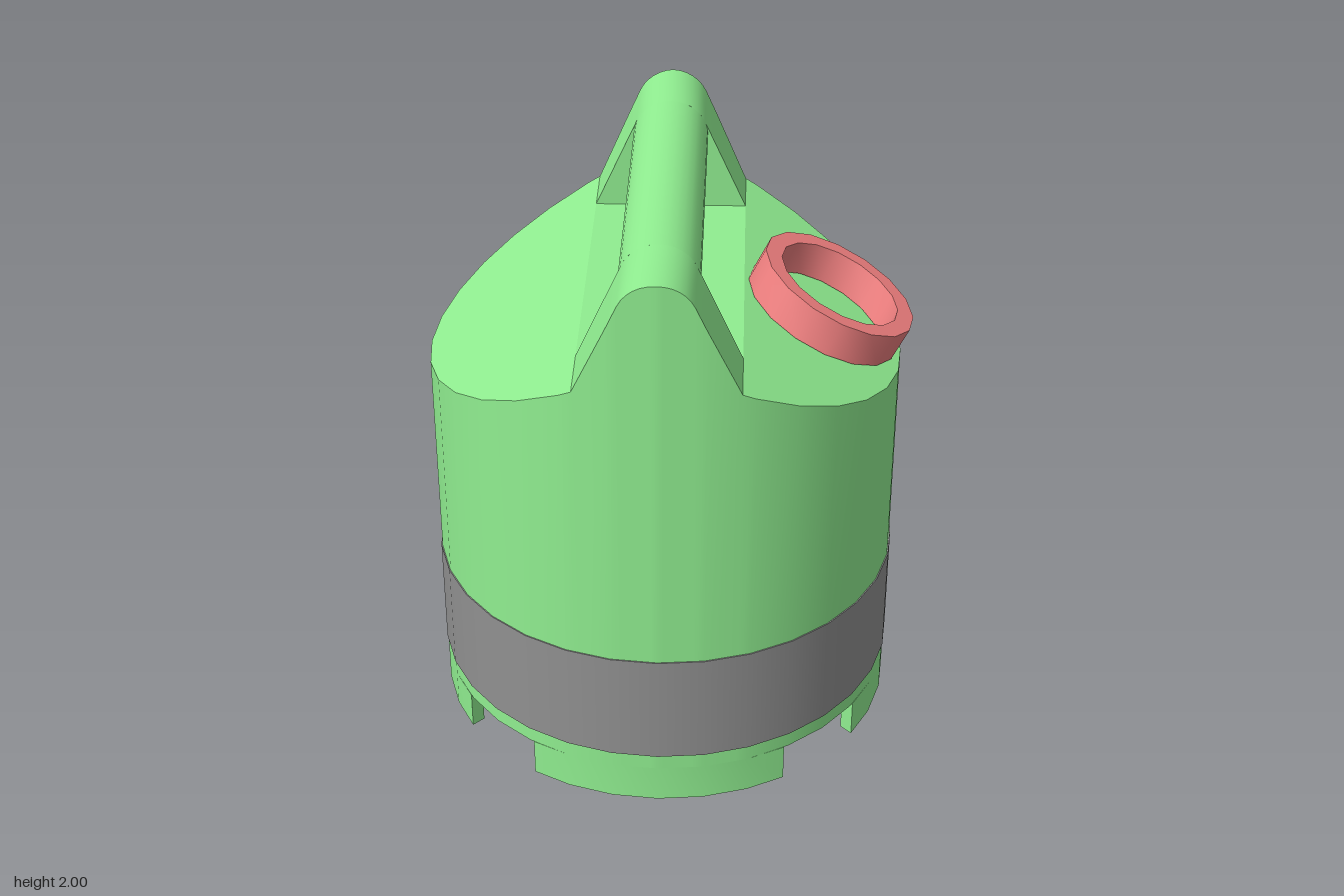
import * as THREE from 'three';
import { toCreasedNormals } from 'three/addons/utils/BufferGeometryUtils.js';

const R = 0.8, SIDES = 32;        // body cylinder
const LIP = 0.135;                // height of the notched foot ring
const SHOULDER = 1.6, PAD_Z = 0.53, PAD_X = 0.265;
const BAR_R = 0.13, BAR_Y = 1.87; // carrying bar

const green = new THREE.MeshStandardMaterial({ color: 0x90ee90 });
const red = new THREE.MeshStandardMaterial({ color: 0xf08080 });
const grey = new THREE.MeshStandardMaterial({ color: 0x909090 });

function add(parent, name, geometry, material) {
  const mesh = new THREE.Mesh(geometry, material);
  mesh.name = name;
  parent.add(mesh);
  return mesh;
}

// Piecewise linear lookup in a list of [x, value] sorted by x
function lerpAt(list, x) {
  for (let i = 1; i < list.length; i++) {
    const [x0, v0] = list[i - 1], [x1, v1] = list[i];
    if (x <= x1 + 1e-9) return v0 + (v1 - v0) * (x - x0) / (x1 - x0);
  }
  return list[list.length - 1][1];
}

// Silhouette of the top: sloped roof, rising to a rounded ridge
function roofProfile() {
  const dy = BAR_Y - SHOULDER;
  const tangent = Math.acos(BAR_R / Math.hypot(PAD_X, dy)) - Math.atan2(dy, PAD_X);
  const points = [[-R, 1.335], [-PAD_X, SHOULDER]];
  const steps = 12;
  for (let i = 0; i <= steps; i++) {
    const a = Math.PI - tangent - (Math.PI - 2 * tangent) * i / steps;
    points.push([BAR_R * Math.cos(a), BAR_Y + BAR_R * Math.sin(a)]);
  }
  points.push([PAD_X, SHOULDER], [R, 1.335]);
  return points;
}

// Cylinder cut by the roof profile, built in strips along x
function bodyGeometry() {
  const roof = roofProfile();
  const rim = [];
  for (let i = 0; i <= SIDES / 2; i++) {
    const a = Math.PI - 2 * Math.PI * i / SIDES;
    rim.push([R * Math.cos(a), R * Math.sin(a)]);
  }
  const xs = [...roof, ...rim].map(p => p[0]).sort((a, b) => a - b)
    .filter((x, i, all) => i === 0 || x - all[i - 1] > 1e-5);

  const positions = [];
  const triangle = (a, b, c) => {
    const t = new THREE.Triangle(...[a, b, c].map(p => new THREE.Vector3(...p)));
    if (t.getArea() > 1e-9) positions.push(...a, ...b, ...c);
  };
  const quad = (a, b, c, d, flip = false) => {
    if (flip) [b, d] = [d, b];
    triangle(a, b, c);
    triangle(a, c, d);
  };

  for (let i = 1; i < xs.length; i++) {
    const x0 = xs[i - 1], x1 = xs[i];
    const h0 = lerpAt(roof, x0), h1 = lerpAt(roof, x1);
    const z0 = lerpAt(rim, x0), z1 = lerpAt(rim, x1);
    const underHandle = Math.abs(x0 + x1) / 2 < PAD_X;

    // underside
    quad([x0, LIP, z0], [x1, LIP, z1], [x1, LIP, -z1], [x0, LIP, -z0], true);
    // roof slope, or the flat floor between the handle ends
    if (underHandle) {
      quad([x0, SHOULDER, PAD_Z], [x1, SHOULDER, PAD_Z],
        [x1, SHOULDER, -PAD_Z], [x0, SHOULDER, -PAD_Z]);
    } else {
      quad([x0, h0, z0], [x1, h1, z1], [x1, h1, -z1], [x0, h0, -z0]);
    }
    for (const s of [1, -1]) {
      const flip = s < 0;
      // outer wall
      quad([x0, LIP, s * z0], [x1, LIP, s * z1], [x1, h1, s * z1], [x0, h0, s * z0], flip);
      if (!underHandle) continue;
      // handle end: top and inner face
      const p = s * PAD_Z;
      quad([x0, h0, s * z0], [x1, h1, s * z1], [x1, h1, p], [x0, h0, p], flip);
      quad([x0, SHOULDER, p], [x1, SHOULDER, p], [x1, h1, p], [x0, h0, p], !flip);
    }
  }
  const geometry = new THREE.BufferGeometry();
  geometry.setAttribute('position', new THREE.Float32BufferAttribute(positions, 3));
  return toCreasedNormals(geometry, 0.4);
}

// One quarter of the foot ring, ending in straight slot edges
function footGeometry() {
  const inner = 0.75, halfSlot = 0.172;
  const arc = r => {
    const end = Math.PI / 4 - Math.asin(halfSlot / r), step = 2 * Math.PI / SIDES;
    return [-end, -2 * step, -step, 0, step, 2 * step, end]
      .map(a => new THREE.Vector2(r * Math.cos(a), r * Math.sin(a)));
  };
  const shape = new THREE.Shape([...arc(R), ...arc(inner).reverse()]);
  const geometry = new THREE.ExtrudeGeometry(shape, { depth: LIP, bevelEnabled: false });
  geometry.rotateX(-Math.PI / 2);
  return toCreasedNormals(geometry, 0.4);
}

export function createModel() {
  const model = new THREE.Group();
  model.name = 'canister';
  const canister = new THREE.Group();
  canister.name = 'canisterParts';
  canister.position.x = -0.018;
  model.add(canister);

  add(canister, 'body', bodyGeometry(), green);

  // Carrying bar between the two handle ends
  const bar = add(canister, 'handleBar',
    new THREE.CylinderGeometry(BAR_R, BAR_R, PAD_Z * 2, 32), green);
  bar.rotation.x = Math.PI / 2;
  bar.position.y = BAR_Y;

  // Band around the lower body
  const band = add(canister, 'band', new THREE.CylinderGeometry(0.804, 0.804, 0.4, SIDES), grey);
  band.position.y = 0.39;

  // Notched foot ring and central foot
  const foot = footGeometry();
  for (let i = 0; i < 4; i++) {
    add(canister, 'footSegment' + (i + 1), foot, green).rotation.y = i * Math.PI / 2;
  }
  const plug = add(canister, 'centreFoot', new THREE.CylinderGeometry(0.28, 0.28, LIP, 32), green);
  plug.position.y = LIP / 2;

  // Hollow spout standing square on the left roof slope
  const section = [[0.22, 0], [0.28, 0], [0.28, 0.125], [0.22, 0.125], [0.22, 0]]
    .map(p => new THREE.Vector2(...p));
  const spout = add(canister, 'spout',
    toCreasedNormals(new THREE.LatheGeometry(section, 16), 0.5), red);
  spout.position.set(0.53, 1.472, 0);
  spout.rotation.z = -Math.atan2(SHOULDER - 1.335, R - PAD_X);

  return model;
}
